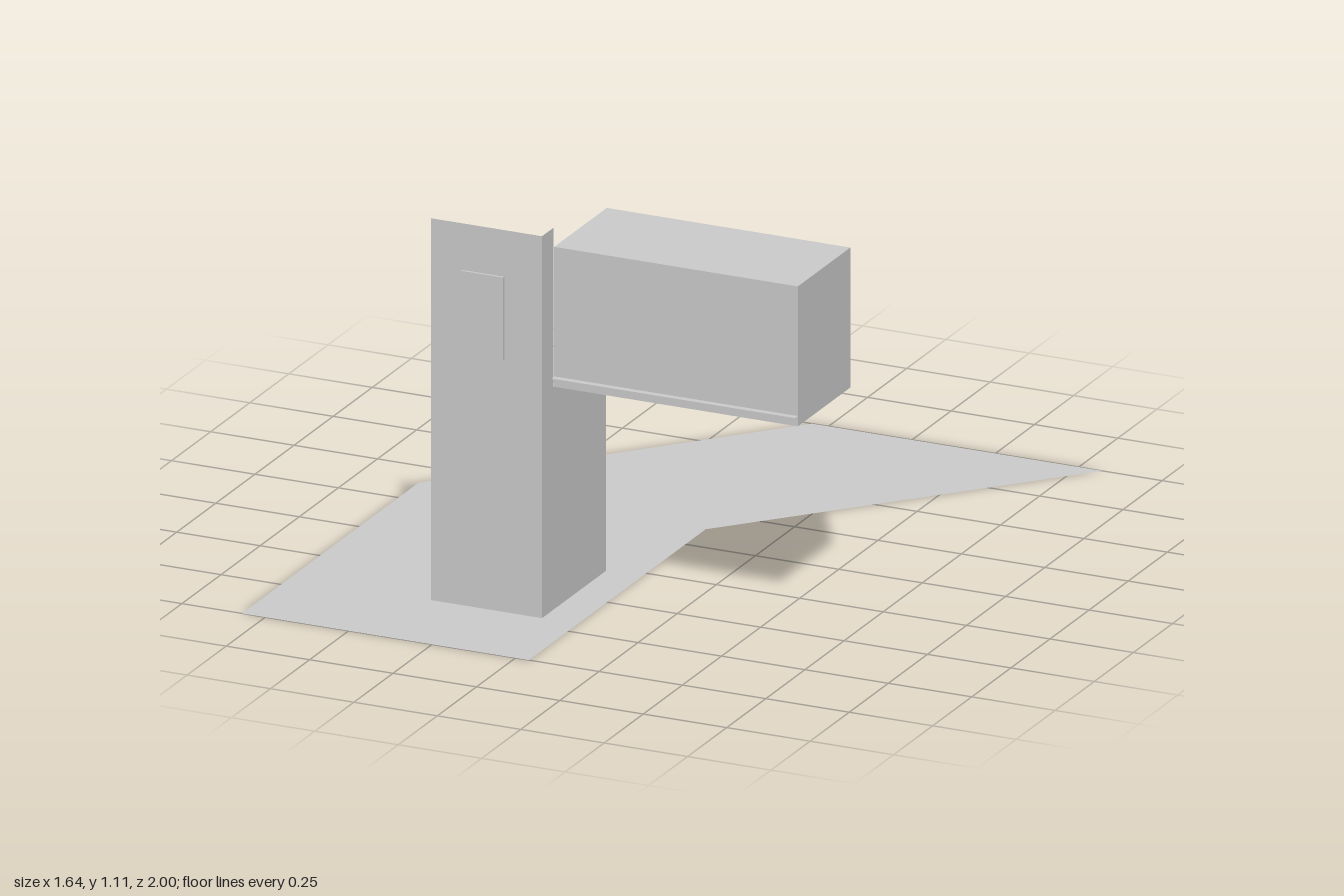
import * as THREE from 'three';

const material = new THREE.MeshStandardMaterial({ color: 0xcccccc, side: THREE.DoubleSide, flatShading: true });

function add(group, name, geometry, x = 0, y = 0, z = 0) {
  const mesh = new THREE.Mesh(geometry, material);
  mesh.name = name;
  mesh.position.set(x, y, z);
  group.add(mesh);
  return mesh;
}

// Box given by its lower and upper corners
function block(group, name, [x0, y0, z0], [x1, y1, z1]) {
  return add(group, name, new THREE.BoxGeometry(x1 - x0, y1 - y0, z1 - z0),
    (x0 + x1) / 2, (y0 + y1) / 2, (z0 + z1) / 2);
}

function flat(points) {
  return new THREE.ShapeGeometry(new THREE.Shape(points.map(([x, y]) => new THREE.Vector2(x, y))));
}

export function createModel() {
  const model = new THREE.Group();
  model.name = 'signStructure';

  // Bent ground sheet, outlined as (x, -z)
  const ground = flat([[-0.82, -1], [0.04, -1], [0.04, 0.13], [0.82, 1], [-0.05, 1], [-0.82, 0.13]]);
  add(model, 'ground', ground.rotateX(-Math.PI / 2));

  // Tower made of two thin walls
  const tower = new THREE.Group();
  tower.name = 'tower';
  model.add(tower);
  add(tower, 'frontWall', flat([[-0.4, 0], [-0.067, 0], [-0.067, 1.105], [-0.4, 1.105]]), 0, 0, 0.688);

  // Side wall, outlined as (-z, y), stepping up in front of the upper block
  const side = flat([[-0.688, 0], [-0.278, 0], [-0.278, 0.645], [-0.614, 0.645], [-0.614, 1.105], [-0.688, 1.105]]);
  add(tower, 'sideWall', side.rotateY(Math.PI / 2), -0.067);

  // Raised window on the front wall
  block(tower, 'frontWindow', [-0.305, 0.73, 0.685], [-0.18, 0.97, 0.695]);

  // Overhanging block with a thin ledge along its front
  const upper = new THREE.Group();
  upper.name = 'upperBlock';
  model.add(upper);
  block(upper, 'overhang', [-0.065, 0.645, 0.278], [0.665, 1.05, 0.614]);
  const ledge = new THREE.PlaneGeometry(0.73, 0.018).rotateX(-Math.PI / 2);
  add(upper, 'ledge', ledge, 0.3, 0.675, 0.623);

  // Louvred opening on the inner end of the block
  block(upper, 'louvreFrame', [-0.085, 0.69, 0.365], [-0.065, 0.95, 0.385]);
  for (let i = 0; i < 16; i++) {
    const y = 0.675 + i * 0.018;
    block(upper, 'louvreSlat', [-0.075, y, 0.39], [-0.065, y + 0.01, 0.59]);
  }

  return model;
}
